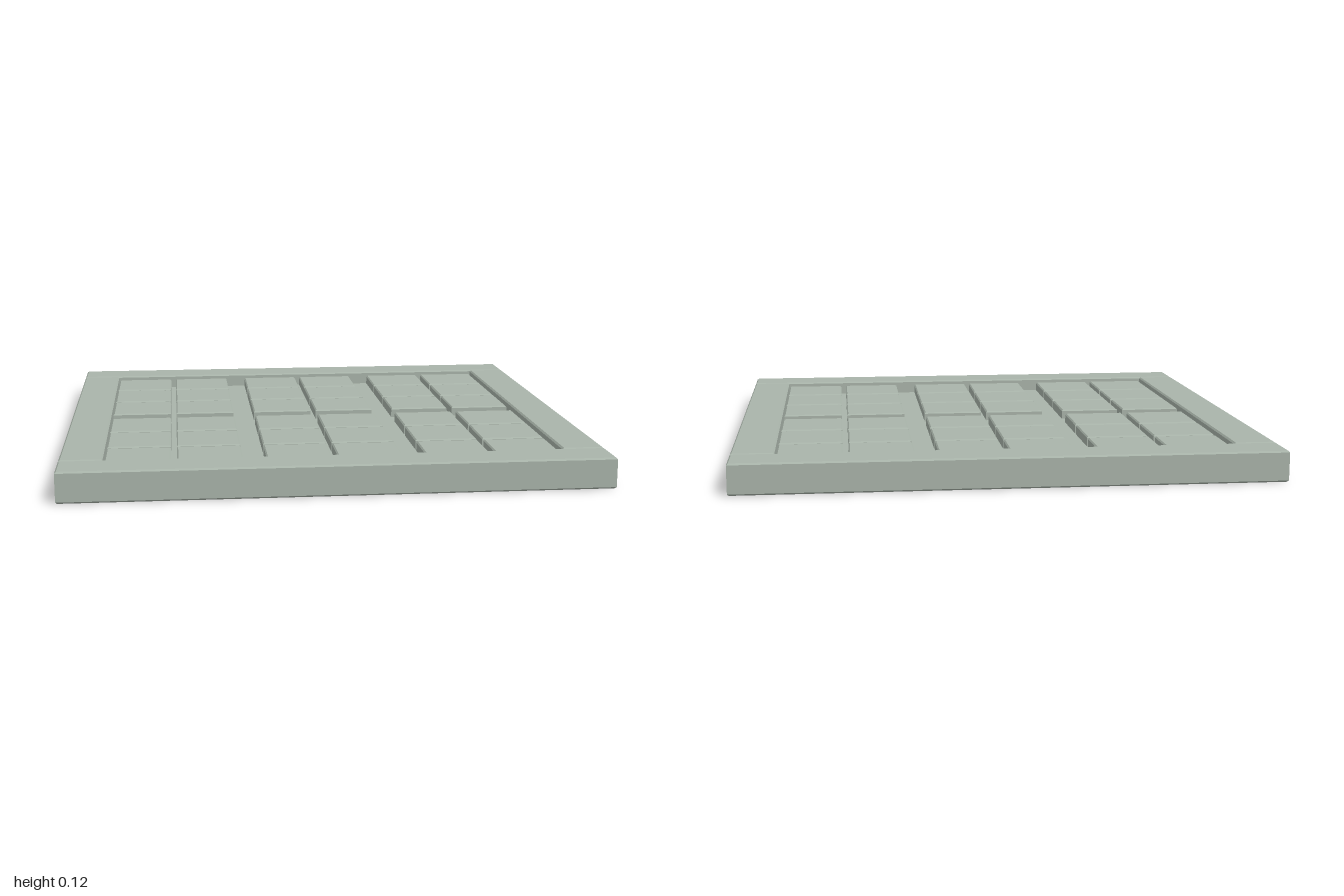
import * as THREE from 'three';

const stone = new THREE.MeshStandardMaterial({ color: 0xa9b4aa });
stone.name = 'greyGreenStone';

// Box standing on y, with a small chamfer round its top edge
function chamferedBlock(name, w, h, d, x, y, z, bevel = 0.006) {
  const box = new THREE.BoxGeometry(w, h, d, 1, 2, 1);
  const p = box.attributes.position;
  for (let i = 0; i < p.count; i++) {
    const py = p.getY(i);
    if (py > h / 4) {
      p.setX(i, p.getX(i) - Math.sign(p.getX(i)) * bevel);
      p.setZ(i, p.getZ(i) - Math.sign(p.getZ(i)) * bevel);
    } else if (py > -h / 4) {
      p.setY(i, h / 2 - bevel);
    }
  }
  const geometry = box.toNonIndexed();
  geometry.computeVertexNormals();
  const mesh = new THREE.Mesh(geometry, stone);
  mesh.name = name;
  mesh.position.set(x, y + h / 2, z);
  return mesh;
}

export function createModel() {
  const model = new THREE.Group();
  model.name = 'tiledPanel';
  const floor = 0.06, top = 0.115, tileTop = 0.098;

  // Base slab, chamfered along its underside
  const base = chamferedBlock('baseSlab', 2, floor, 1.93, 0, 0, 0);
  base.rotation.x = Math.PI;
  model.add(base);

  // Raised frame: full-width rails front and back, shorter rails at the sides
  for (const s of [1, -1]) {
    model.add(chamferedBlock(s > 0 ? 'frontRail' : 'backRail',
      2, top - floor, 0.155, 0, floor, s * 0.8875));
    model.add(chamferedBlock(s > 0 ? 'leftRail' : 'rightRail',
      0.157, top - floor, 1.604, s * 0.9215, floor, 0));
  }

  // Six panels of two by three tiles
  for (const px of [-0.588, 0, 0.588]) {
    for (const pz of [-0.424, 0.424]) {
      const panel = new THREE.Group();
      panel.name = 'tilePanel';
      panel.position.set(px, 0, pz);
      for (const tx of [-0.131, 0.131]) {
        for (const tz of [-0.261, 0, 0.261]) {
          panel.add(chamferedBlock('tile', 0.24, tileTop - floor, 0.24, tx, floor, tz, 0.005));
        }
      }
      model.add(panel);
    }
  }
  return model;
}
